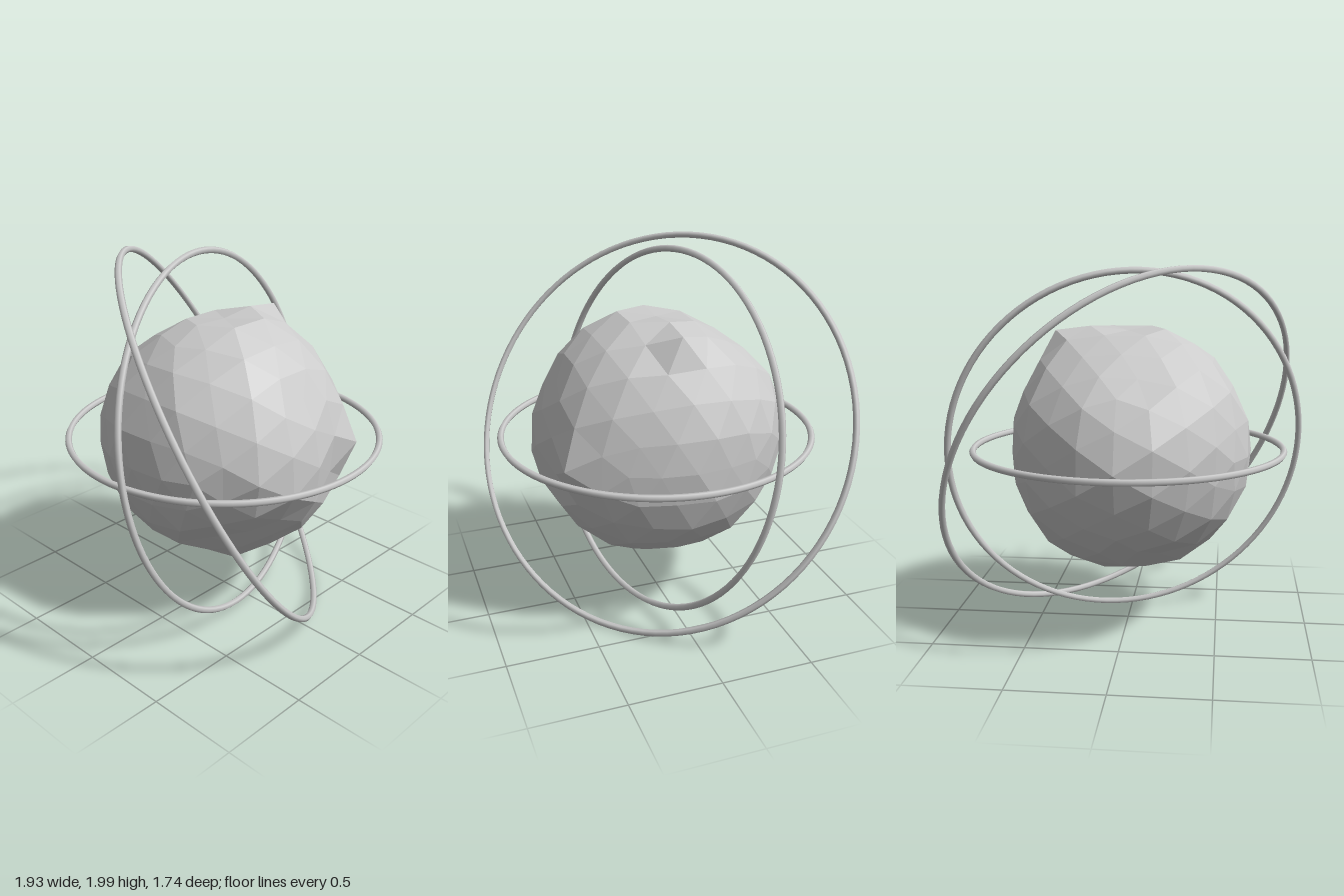
import * as THREE from 'three';

const material = new THREE.MeshStandardMaterial({ color: 0xcccccc });
const rockMaterial = new THREE.MeshStandardMaterial({ color: 0xcccccc, flatShading: true });

// Lumps and dents of the rock: direction, height, angular width
const LUMPS = [
  [1, 0, 0, -0.05, 0.5],
  [0, 0, -1, 0.05, 0.4],
  [0.56, 0, 0.83, 0.07, 0.2],
  [0.25, -0.05, 0.97, -0.04, 0.2],
  [-0.3, 0, 0.95, 0.03, 0.3],
  [0.53, 0.85, 0, 0.08, 0.2],
  [0.75, 0.6, 0.2, -0.045, 0.25],
  [-0.08, -0.96, 0.26, 0.05, 0.25],
  [0, -1, -0.1, -0.02, 0.2],
  [0, 0.96, 0.27, 0.025, 0.2],
  [0, 1, -0.05, -0.03, 0.2],
  [-0.5, -0.65, 0.55, -0.08, 0.3],
  [-0.2, -0.55, 0.8, -0.03, 0.2],
  [-0.25, -0.8, -0.5, -0.05, 0.25],
  [0, 0.8, -0.6, -0.05, 0.35],
  [0, 0.42, 0.9, -0.03, 0.3],
  [0.7, -0.7, 0.1, -0.03, 0.35],
  [0.8, 0.2, 0.55, -0.045, 0.22],
].map(([x, y, z, height, width]) => ({ dir: new THREE.Vector3(x, y, z).normalize(), height, width }));

function rockRadius(d) {
  let r = 0.68;
  for (const { dir, height, width } of LUMPS) {
    const angle = d.angleTo(dir);
    r += height * Math.exp(-((angle / width) ** 2));
  }
  // fine unevenness between neighbouring corners
  return r + 0.01 * Math.sin(9 * d.x + 5 * d.y) * Math.cos(8 * d.z - 6 * d.y);
}

// Faceted rock: a subdivided icosahedron pushed in and out along its radii
function createRock() {
  const geometry = new THREE.IcosahedronGeometry(1, 3);
  const pos = geometry.attributes.position;
  const v = new THREE.Vector3();
  for (let i = 0; i < pos.count; i++) {
    v.fromBufferAttribute(pos, i).normalize();
    v.multiplyScalar(rockRadius(v));
    pos.setXYZ(i, v.x, v.y, v.z);
  }
  geometry.computeVertexNormals();
  const rock = new THREE.Mesh(geometry, rockMaterial);
  rock.name = 'rock';
  return rock;
}

// Thin ring around the rock, facing along the given normal
function createRing(name, radius, normal) {
  const ring = new THREE.Mesh(new THREE.TorusGeometry(radius, 0.018, 6, 100), material);
  ring.quaternion.setFromUnitVectors(new THREE.Vector3(0, 0, 1), new THREE.Vector3(...normal).normalize());
  ring.name = name;
  return ring;
}

export function createModel() {
  const model = new THREE.Group();
  model.name = 'ringedRock';
  model.add(
    createRock(),
    createRing('innerRing', 0.853, [0, 1, 0]),
    createRing('middleRing', 0.986, [0.272, 0.196, 0.945]),
    createRing('outerRing', 1.112, [0.604, 0.475, 0.64]),
  );
  model.children.forEach((part) => { part.position.y = 1; });
  return model;
}
